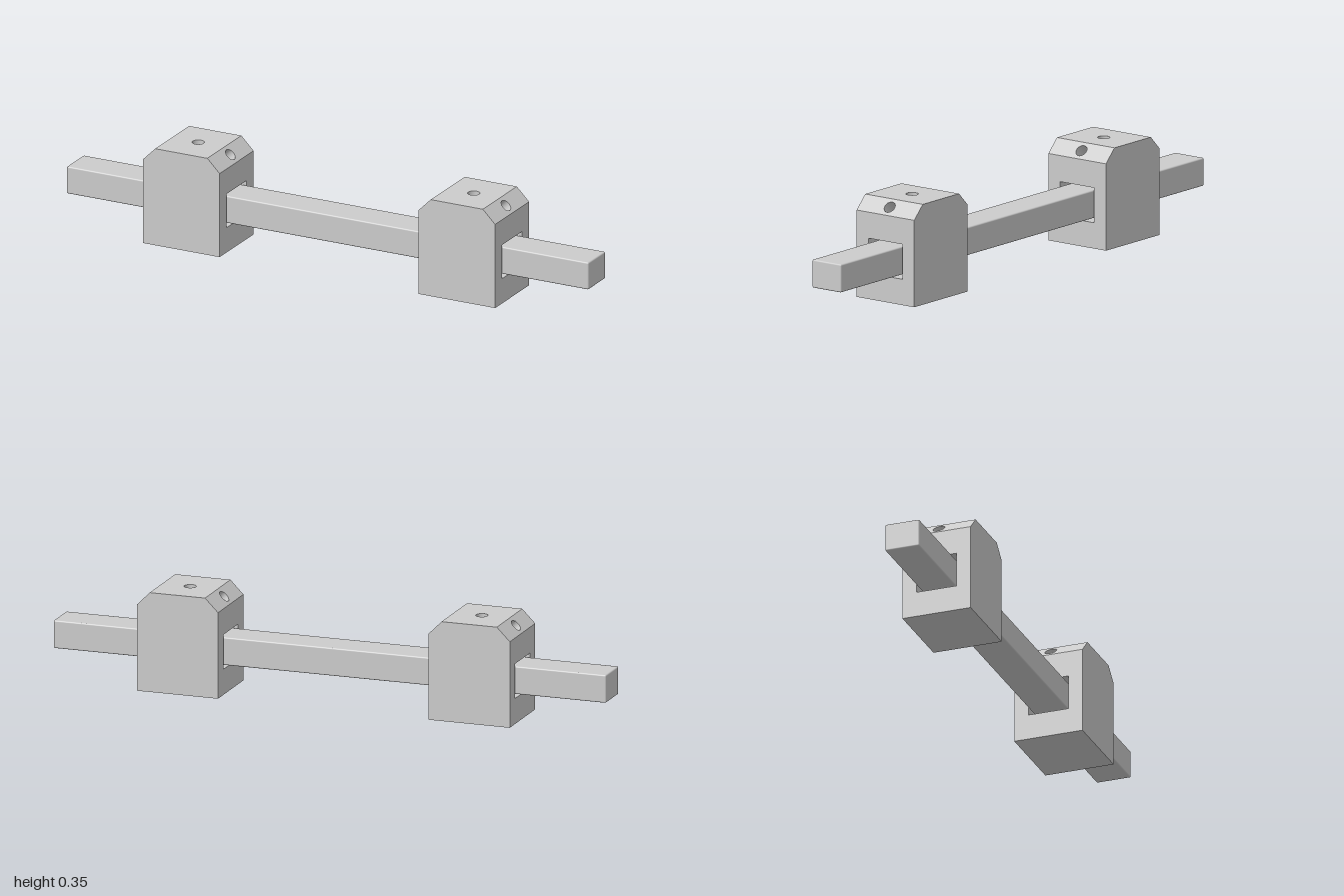
import * as THREE from 'three';
import { mergeGeometries } from 'three/addons/utils/BufferGeometryUtils.js';
import { RoundedBoxGeometry } from 'three/addons/geometries/RoundedBoxGeometry.js';

const grey = new THREE.MeshStandardMaterial({ color: 0xcccccc });
const greyInside = new THREE.MeshStandardMaterial({ color: 0xcccccc, side: THREE.DoubleSide });

// Block size: half length, height, half depth and chamfer
const L = 0.147, H = 0.35, D = 0.124, C = 0.047;
// Tunnel: half width, floor and roof heights
const TW = 0.073, T0 = 0.09, T1 = 0.212;
const BORE = 0.021, SLANT_DEPTH = 0.09;

function rectangle(w, h, y = 0) {
  return [[-w / 2, y - h / 2], [w / 2, y - h / 2], [w / 2, y + h / 2], [-w / 2, y + h / 2]]
    .map(([a, b]) => new THREE.Vector2(a, b));
}

function roundHole() {
  return new THREE.Path().absarc(0, 0, BORE, 0, Math.PI * 2, true);
}

// Flat face centred on (x, y), facing angle a in the xy plane
function face(points, hole, x, y, a) {
  const shape = new THREE.Shape(points);
  if (hole) shape.holes.push(hole);
  return new THREE.ShapeGeometry(shape, 24)
    .rotateY(Math.PI / 2).rotateZ(a).translate(x, y, 0);
}

function blockShell() {
  const up = Math.PI / 2;
  const slant = C * Math.SQRT2;
  const profile = new THREE.Shape([
    [-L, 0], [L, 0], [L, H - C], [L - C, H], [-L + C, H], [-L, H - C],
  ].map(([x, y]) => new THREE.Vector2(x, y)));
  const tunnelH = T1 - T0, tunnelY = (T0 + T1) / 2, endH = H - C;

  const faces = [
    // front and back
    new THREE.ShapeGeometry(profile).translate(0, 0, D),
    new THREE.ShapeGeometry(profile).rotateY(Math.PI).translate(0, 0, -D),
    // top and bottom
    face(rectangle(2 * D, 2 * (L - C)), roundHole(), 0, H, up),
    face(rectangle(2 * D, 2 * L), null, 0, 0, -up),
    // tunnel floor and roof
    face(rectangle(2 * TW, 2 * L), null, 0, T0, up),
    face(rectangle(2 * TW, 2 * L), roundHole(), 0, T1, -up),
    // tunnel side walls
    new THREE.PlaneGeometry(2 * L, tunnelH).translate(0, tunnelY, -TW),
    new THREE.PlaneGeometry(2 * L, tunnelH).rotateY(Math.PI).translate(0, tunnelY, TW),
  ];
  for (const s of [1, -1]) {
    // end face with tunnel opening, and the chamfer above it
    const a = s > 0 ? 0 : Math.PI;
    const opening = new THREE.Path(rectangle(2 * TW, tunnelH, s * (tunnelY - endH / 2)));
    faces.push(face(rectangle(2 * D, endH), opening, s * L, endH / 2, a));
    const tilt = up - s * Math.PI / 4;
    faces.push(face(rectangle(2 * D, slant), roundHole(), s * (L - C / 2), H - C / 2, tilt));
  }
  return mergeGeometries(faces.map((g) => g.toNonIndexed()));
}

function addBore(group, name, depth, x, y, tilt, blind) {
  const bore = new THREE.Group();
  bore.name = name;
  const wall = new THREE.CylinderGeometry(BORE, BORE, depth, 32, 1, true).translate(0, -depth / 2, 0);
  bore.add(new THREE.Mesh(wall, greyInside));
  if (blind) {
    const floor = new THREE.CircleGeometry(BORE, 32).rotateX(-Math.PI / 2).translate(0, -depth, 0);
    bore.add(new THREE.Mesh(floor, greyInside));
  }
  bore.children.forEach((m) => { m.name = name; });
  bore.position.set(x, y, 0);
  bore.rotation.z = tilt;
  group.add(bore);
}

function slidingBlock(name, x) {
  const group = new THREE.Group();
  group.name = name;
  const shell = new THREE.Mesh(blockShell(), grey);
  shell.name = 'blockBody';
  group.add(shell);
  addBore(group, 'topBore', H - T1, 0, H, 0, false);
  for (const s of [1, -1]) {
    addBore(group, s > 0 ? 'leftChamferBore' : 'rightChamferBore', SLANT_DEPTH,
      s * (L - C / 2), H - C / 2, -s * Math.PI / 4, true);
  }
  group.position.x = x;
  return group;
}

export function createModel() {
  const model = new THREE.Group();
  model.name = 'barWithSlidingBlocks';

  // Long bar with slightly softened edges
  const bar = new THREE.Mesh(new RoundedBoxGeometry(2, 0.098, 0.124, 3, 0.005), grey);
  bar.name = 'bar';
  bar.position.y = 0.151;
  model.add(bar);

  model.add(slidingBlock('leftBlock', 0.528), slidingBlock('rightBlock', -0.528));
  return model;
}
